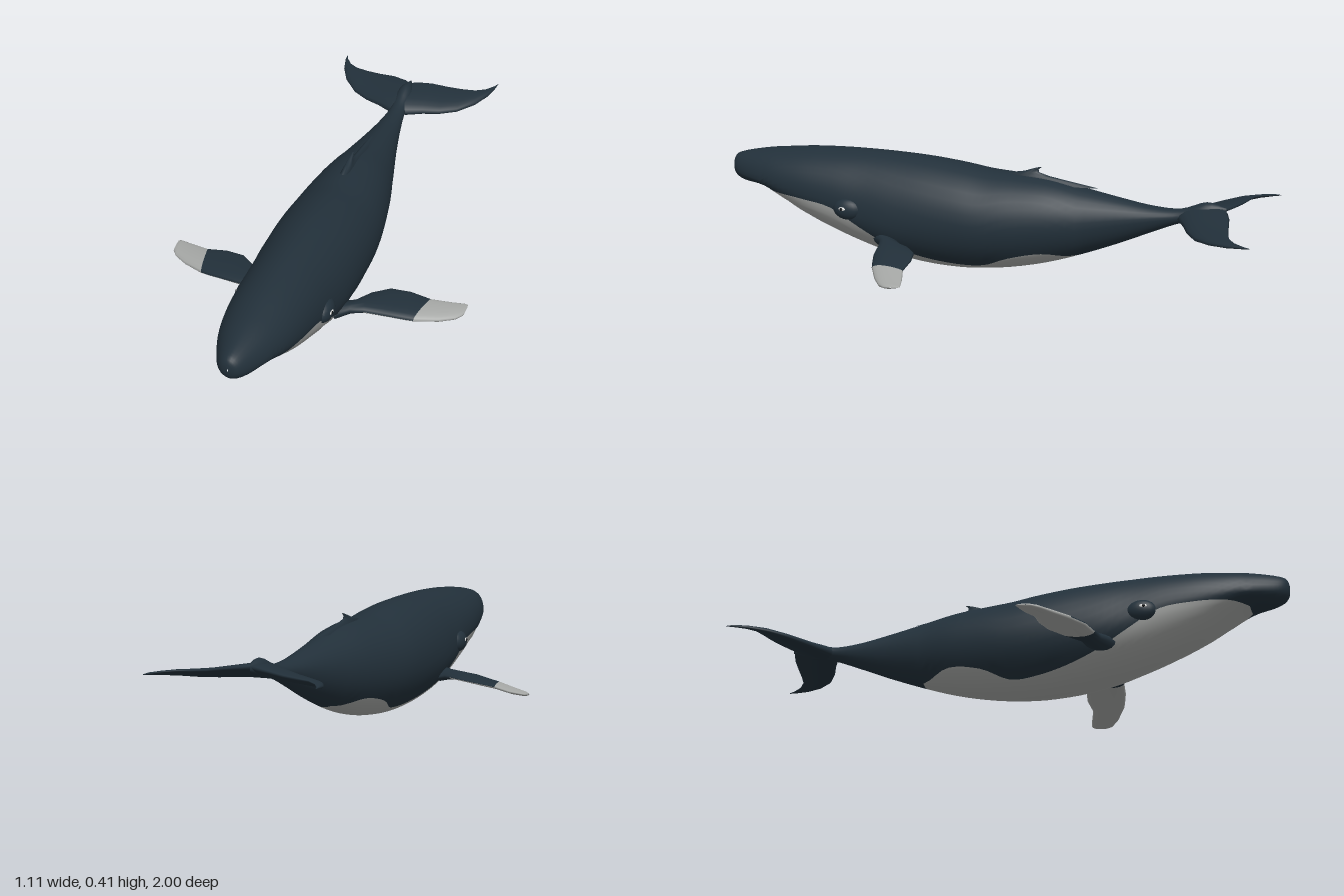
import * as THREE from 'three';

const mat = (name, color) => {
  const m = new THREE.MeshStandardMaterial({ color });
  m.name = name;
  return m;
};

// Skins closed rings (counter-clockwise about the direction they advance in);
// pick(i, j) chooses the material index of each quad.
function loft(name, rings, materials, pick) {
  const n = rings[0].length, lists = materials.map(() => []);
  for (let i = 0; i < rings.length - 1; i++) {
    for (let j = 0; j < n; j++) {
      const k = (j + 1) % n;
      const a = i * n + j, b = i * n + k, c = a + n, d = b + n;
      lists[pick(i, j)].push(a, b, c, b, d, c);
    }
  }
  const geo = new THREE.BufferGeometry().setFromPoints(rings.flat());
  geo.setIndex(lists.flat());
  let start = 0;
  lists.forEach((l, m) => { geo.addGroup(start, l.length, m); start += l.length; });
  geo.computeVertexNormals();
  const mesh = new THREE.Mesh(geo, materials);
  mesh.name = name;
  return mesh;
}

// Lens-shaped ring between a leading and a trailing point
function foilRing(lead, trail, thick, dir, n = 16) {
  const mid = lead.clone().add(trail).multiplyScalar(0.5);
  const half = lead.clone().sub(mid);
  return Array.from({ length: n }, (_, j) => {
    const t = (j / n) * Math.PI * 2, c = Math.cos(t), s = Math.sin(t);
    return mid.clone().addScaledVector(half, c)
      .addScaledVector(dir, (thick / 2) * s * (1 + 0.35 * c));
  });
}

// Body stations: z, half width, top, bottom, height of widest point, top of pale belly
const BODY = [
  [1.0, 0.002, 0.317, 0.307, 0.312, 0.3],
  [0.99, 0.032, 0.347, 0.272, 0.305, 0.272],
  [0.95, 0.06, 0.364, 0.252, 0.295, 0.252],
  [0.86, 0.097, 0.382, 0.243, 0.285, 0.246],
  [0.78, 0.12, 0.392, 0.2, 0.275, 0.246],
  [0.68, 0.138, 0.402, 0.142, 0.26, 0.24],
  [0.56, 0.152, 0.408, 0.092, 0.235, 0.222],
  [0.45, 0.163, 0.41, 0.055, 0.205, 0.16],
  [0.34, 0.173, 0.408, 0.025, 0.19, 0.1],
  [0.22, 0.177, 0.402, 0.006, 0.19, 0.06],
  [0.1, 0.176, 0.39, 0.001, 0.19, 0.04],
  [0.0, 0.17, 0.376, 0.008, 0.19, 0.042],
  [-0.1, 0.157, 0.37, 0.022, 0.195, 0.085],
  [-0.22, 0.135, 0.36, 0.05, 0.205, 0.11],
  [-0.34, 0.105, 0.337, 0.09, 0.218, 0.094],
  [-0.48, 0.07, 0.312, 0.146, 0.238, 0.146],
  [-0.6, 0.045, 0.294, 0.2, 0.255, 0.2],
  [-0.7, 0.03, 0.294, 0.242, 0.268, 0.242],
  [-0.79, 0.03, 0.326, 0.26, 0.288, 0.26],
  [-0.86, 0.004, 0.31, 0.29, 0.3, 0.29],
];

function body(dark, pale) {
  const spline = (i) => new THREE.SplineCurve(BODY.map((r) => new THREE.Vector2(r[i], r[i + 1])));
  const curves = [spline(0), spline(2), spline(4)];
  const upper = 24, lower = 24, steps = (BODY.length - 1) * 4;
  const rings = [], zs = [];
  for (let i = 0; i <= steps; i++) {
    const [p, q, r] = curves.map((c) => c.getPoint(1 - i / steps));
    const z = p.x, w = Math.max(p.y, 0.001), top = q.x, bot = q.y, mid = r.x;
    const rise = (r.y - mid) / Math.abs(mid - bot);
    const edge = Math.asin(THREE.MathUtils.clamp(rise, -0.96, 0.3));
    const throat = THREE.MathUtils.smoothstep(z, 0.1, 0.35) * (1 - THREE.MathUtils.smoothstep(z, 0.65, 0.85));
    const ring = [];
    for (let j = 0; j < upper + lower; j++) {
      const isBelly = j > upper;
      const a = isBelly
        ? Math.PI - edge + ((j - upper) / lower) * (Math.PI + 2 * edge)
        : edge + (j / upper) * (Math.PI - 2 * edge);
      const c = Math.cos(a), s = Math.sin(a);
      // shallow throat pleats on the belly
      const g = isBelly && j % 2 ? 1 - 0.018 * throat : 1;
      ring.push(new THREE.Vector3(
        g * w * Math.sign(c) * Math.abs(c) ** 1.08,
        mid + g * s * (s > 0 ? top - mid : mid - bot), z));
    }
    rings.push(ring);
    zs.push(z);
  }
  return loft('body', rings, [dark, pale], (i, j) =>
    (j >= upper && zs[i] > -0.36 && zs[i + 1] < 0.87 ? 1 : 0));
}

// Wing sections: lead x, y, z, trail x, y, z, thickness
const FLIPPER = [
  [0.14, 0.12, 0.4, 0.14, 0.11, 0.3, 0.05],
  [0.185, 0.123, 0.36, 0.185, 0.118, 0.285, 0.036],
  [0.23, 0.124, 0.347, 0.225, 0.126, 0.235, 0.028],
  [0.31, 0.118, 0.335, 0.28, 0.128, 0.193, 0.026],
  [0.37, 0.107, 0.318, 0.35, 0.122, 0.18, 0.026],
  [0.4, 0.102, 0.308, 0.425, 0.112, 0.183, 0.025],
  [0.48, 0.092, 0.268, 0.49, 0.102, 0.163, 0.022],
  [0.53, 0.09, 0.235, 0.545, 0.099, 0.15, 0.016],
  [0.55, 0.092, 0.21, 0.553, 0.098, 0.155, 0.009],
  [0.553, 0.095, 0.19, 0.553, 0.095, 0.18, 0.001],
];
const FLUKE = [
  [0, 0.265, -0.69, 0, 0.302, -0.85, 0.05],
  [0.035, 0.265, -0.695, 0.025, 0.302, -0.868, 0.046],
  [0.09, 0.262, -0.725, 0.08, 0.298, -0.886, 0.036],
  [0.15, 0.257, -0.752, 0.14, 0.29, -0.896, 0.03],
  [0.21, 0.257, -0.79, 0.195, 0.286, -0.905, 0.025],
  [0.265, 0.264, -0.85, 0.245, 0.284, -0.917, 0.019],
  [0.298, 0.271, -0.915, 0.28, 0.281, -0.942, 0.013],
  [0.312, 0.277, -0.97, 0.305, 0.279, -0.978, 0.008],
  [0.315, 0.278, -1.0, 0.313, 0.278, -1.0, 0.002],
];

function wing(name, rows, side, materials, topIsDark) {
  const dir = new THREE.Vector3(0, -side, 0);
  const rings = rows.map(([a, b, c, d, e, f, t]) =>
    foilRing(new THREE.Vector3(a * side, b, c), new THREE.Vector3(d * side, e, f), t, dir));
  return loft(name, rings, materials, (i, j) => (topIsDark(i, (j < 8) === (side < 0)) ? 0 : 1));
}

export function createModel() {
  const dark = mat('slate skin', 0x22303a);
  const pale = mat('pale skin', 0xa6a8a6);
  const white = mat('eye white', 0xe8e8e6);
  const black = mat('pupil black', 0x0c1013);
  const whale = new THREE.Group();
  whale.name = 'whale';
  whale.add(body(dark, pale));

  const ball = (name, m, pos, scale) => {
    const b = new THREE.Mesh(new THREE.SphereGeometry(1, 20, 14), m);
    b.name = name;
    b.position.set(...pos);
    b.scale.set(...scale);
    whale.add(b);
  };

  for (const side of [1, -1]) {
    const label = side > 0 ? 'left' : 'right';
    // flipper: dark upper root, pale outer half and underside
    whale.add(wing(label + 'Flipper', FLIPPER, side, [dark, pale], (i, top) => (top ? i < 5 : i < 2)));
    whale.add(wing(label + 'Fluke', FLUKE, side, [dark, pale], () => true));
    // brow bulge and eye
    ball(label + 'Brow', dark, [side * 0.145, 0.222, 0.495], [0.031, 0.04, 0.055]);
    ball(label + 'EyeWhite', white, [side * 0.171, 0.228, 0.505], [0.006, 0.008, 0.016]);
    ball(label + 'Pupil', black, [side * 0.173, 0.228, 0.509], [0.006, 0.006, 0.007]);
  }

  // hooked dorsal fin: height, lead z, trail z, thickness
  const fin = [
    [0.34, -0.03, -0.4, 0.04],
    [0.368, -0.06, -0.225, 0.03],
    [0.38, -0.125, -0.182, 0.02],
    [0.391, -0.155, -0.18, 0.013],
    [0.401, -0.187, -0.192, 0.003],
  ].map(([y, a, b, t]) =>
    foilRing(new THREE.Vector3(0, y, a), new THREE.Vector3(0, y, b), t, new THREE.Vector3(1, 0, 0)));
  whale.add(loft('dorsalFin', fin, [dark], () => 0));

  return whale;
}
